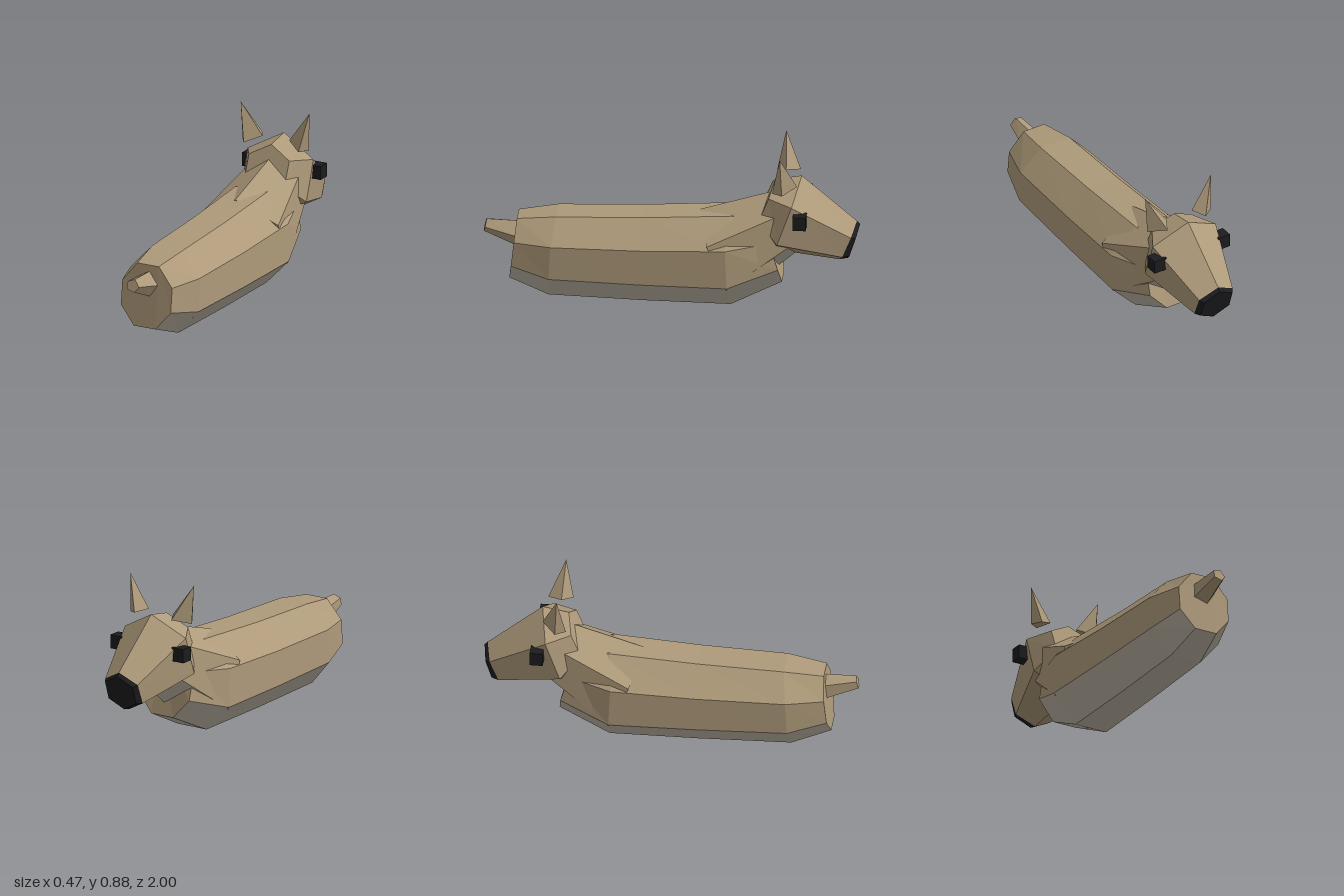
import * as THREE from 'three';

const mat = (color) => new THREE.MeshStandardMaterial({ color, flatShading: true });

// Facets between successive rings of corners, with optional end caps.
// Rings run clockwise as seen looking from the first ring to the last.
function loft(name, material, rings, { faces = () => true, caps = true } = {}) {
  const pos = [];
  const tri = (a, b, c) => {
    const n = new THREE.Vector3().subVectors(b, a).cross(new THREE.Vector3().subVectors(c, a));
    if (n.length() > 1e-9) for (const p of [a, b, c]) pos.push(p.x, p.y, p.z);
  };
  for (let r = 0; r + 1 < rings.length; r++) {
    const a = rings[r], b = rings[r + 1], n = a.length;
    for (let i = 0; i < n; i++) {
      if (!faces(i)) continue;
      const j = (i + 1) % n;
      tri(a[i], a[j], b[j]);
      tri(a[i], b[j], b[i]);
    }
  }
  if (caps) {
    const a = rings[0], b = rings[rings.length - 1];
    for (let i = 1; i + 1 < a.length; i++) {
      tri(a[0], a[i + 1], a[i]);
      tri(b[0], b[i], b[i + 1]);
    }
  }
  const geo = new THREE.BufferGeometry();
  geo.setAttribute('position', new THREE.Float32BufferAttribute(pos, 3));
  geo.computeVertexNormals();
  const mesh = new THREE.Mesh(geo, material);
  mesh.name = name;
  return mesh;
}

const vec = (p) => new THREE.Vector3(...p);

// Regular hexagon standing between a top and a bottom corner, each [z, y]
function hexRing([z0, y0], [z1, y1]) {
  const side = Math.hypot(z1 - z0, y1 - y0) / 2 * Math.sin(Math.PI / 3);
  return [[0, 0], [1, 0.25], [1, 0.75], [0, 1], [-1, 0.75], [-1, 0.25]].map(([s, t]) =>
    new THREE.Vector3(s * side, y0 + (y1 - y0) * t, z0 + (z1 - z0) * t));
}

// Octagon from half widths and four [z, y] levels, top to bottom
function octRing(flat, wide, [top, upper, lower, bottom]) {
  const half = [[flat, top], [wide, upper], [wide, lower], [flat, bottom]];
  const right = half.map(([x, [z, y]]) => new THREE.Vector3(x, y, z));
  const left = half.map(([x, [z, y]]) => new THREE.Vector3(-x, y, z)).reverse();
  return [...right, ...left];
}

export function createModel() {
  const group = new THREE.Group();
  const tan = mat(0xae9a7a), pale = mat(0xbfb6a5), dark = mat(0x1c1c1e);

  // Body, rump to chest, with a pale belly
  const body = [
    octRing(0.065, 0.15, [[0.82, 0.44], [0.83, 0.335], [0.845, 0.2], [0.86, 0.1]]),
    octRing(0.09, 0.207, [[0.61, 0.467], [0.63, 0.338], [0.64, 0.155], [0.65, 0.02]]),
    octRing(0.092, 0.222, [[0.15, 0.48], [0.15, 0.342], [0.15, 0.147], [0.15, 0.006]]),
    octRing(0.095, 0.235, [[-0.32, 0.507], [-0.3, 0.36], [-0.31, 0.147], [-0.32, 0.002]]),
    octRing(0.07, 0.165, [[-0.495, 0.49], [-0.53, 0.385], [-0.575, 0.235], [-0.59, 0.13]]),
  ];
  const bodyBelly = (i) => i >= 2 && i <= 4;
  group.add(loft('body', tan, body, { faces: (i) => !bodyBelly(i) }));
  group.add(loft('belly', pale, body, { faces: bodyBelly, caps: false }));

  // Neck, rising out of the chest, with a pale throat
  const neck = [
    hexRing([-0.15, 0.503], [-0.36, 0.015]),
    hexRing([-0.52, 0.615], [-0.66, 0.275]),
  ];
  const throat = (i) => i === 2 || i === 3;
  group.add(loft('neck', tan, neck, { faces: (i) => !throat(i) }));
  group.add(loft('throat', pale, neck, { faces: throat, caps: false }));

  // Head and nose
  const muzzle = hexRing([-0.983, 0.465], [-0.89, 0.24]);
  group.add(loft('head', tan, [
    hexRing([-0.55, 0.69], [-0.444, 0.43]),
    hexRing([-0.69, 0.715], [-0.535, 0.285]),
    muzzle,
  ]));
  group.add(loft('nose', dark, [muzzle, hexRing([-1, 0.447], [-0.935, 0.25])]));

  // Ears and eyes
  const earBase = [[0.2, 0.675, -0.6], [0.12, 0.7, -0.675], [0.08, 0.71, -0.6], [0.165, 0.675, -0.545]];
  for (const [side, label] of [[1, 'left'], [-1, 'right']]) {
    const base = earBase.map(([x, y, z]) => vec([side * x, y, z]));
    if (side < 0) base.reverse();
    const tip = base.map(() => vec([side * 0.207, 0.885, -0.59]));
    group.add(loft(label + 'Ear', tan, [base, tip]));

    const eye = new THREE.Mesh(new THREE.BoxGeometry(0.075, 0.075, 0.07), dark);
    eye.name = label + 'Eye';
    eye.position.set(side * 0.2, 0.533, -0.695);
    group.add(eye);
  }

  // Tail, a tapering five-sided stub
  group.add(loft('tail', tan, [
    [[0.01, 0.41, 0.985], [0.038, 0.372, 0.992], [0.015, 0.342, 1], [-0.03, 0.355, 1], [-0.03, 0.395, 0.99]].map(vec),
    [[0.01, 0.405, 0.8], [0.067, 0.335, 0.82], [0.02, 0.27, 0.835], [-0.055, 0.295, 0.83], [-0.055, 0.37, 0.81]].map(vec),
  ]));

  return group;
}
